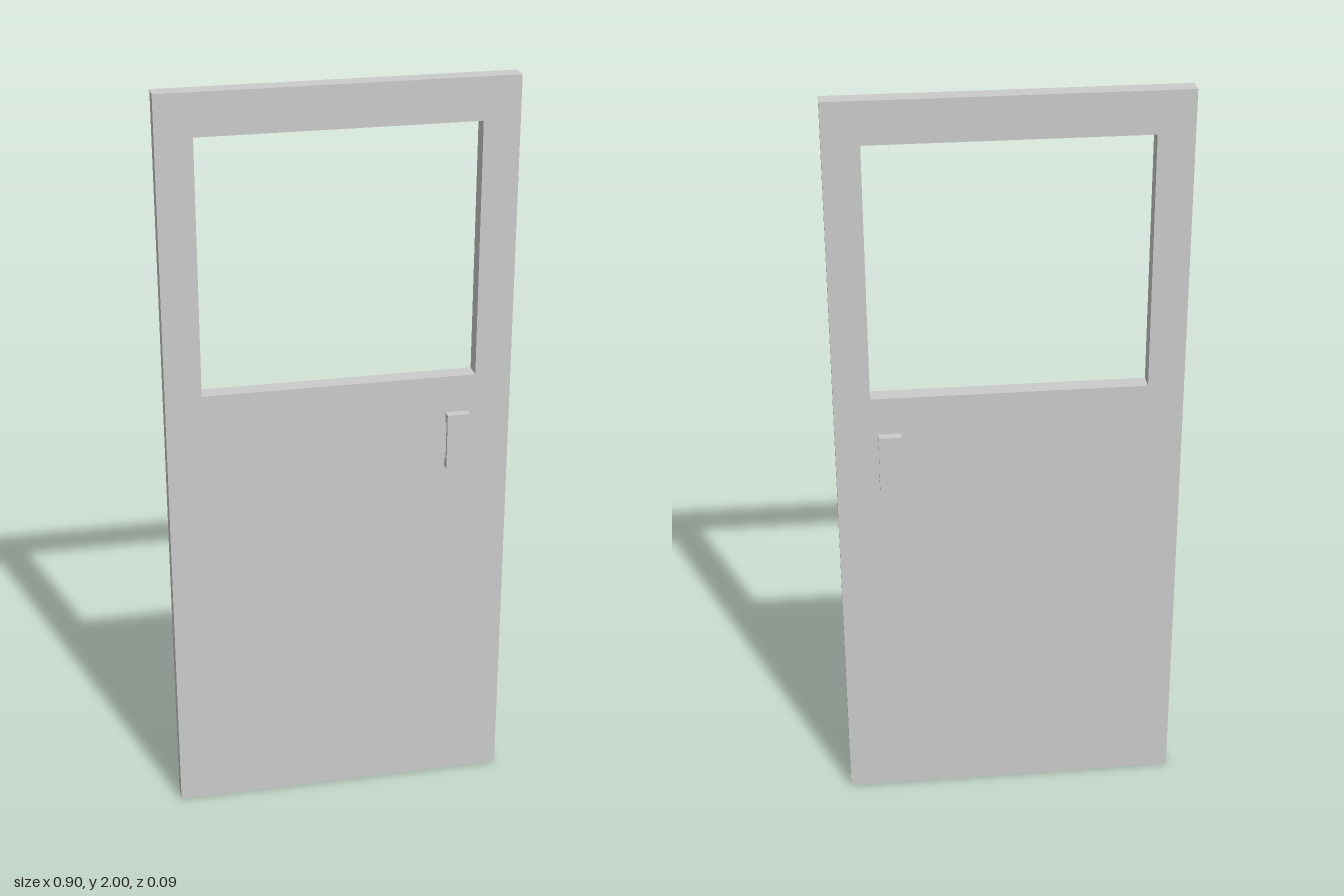
import * as THREE from 'three';

const W = 0.451, D = 0.0235; // half width and half thickness of the door

function polygon(points, Type = THREE.Shape) {
  return new Type(points.map(([x, y]) => new THREE.Vector2(x, y)));
}

export function createModel() {
  const group = new THREE.Group();
  group.name = 'door';
  const material = new THREE.MeshStandardMaterial({ color: 0xcccccc, flatShading: true });

  // Door slab with a window opening
  const slab = polygon([[-W, 0], [W, 0], [W, 2], [-W, 2]]);
  slab.holes.push(polygon([[-0.357, 1.217], [-0.357, 1.89], [0.357, 1.89], [0.357, 1.217]], THREE.Path));
  const slabGeometry = new THREE.ExtrudeGeometry(slab, { depth: 2 * D, bevelEnabled: false });
  slabGeometry.translate(0, 0, -D);
  const panel = new THREE.Mesh(slabGeometry, material);
  panel.name = 'doorPanel';
  group.add(panel);

  // Pull handles: a C-shaped side profile (distance from the door, height) swept across the width
  const bottom = 0.963, top = 1.116, reach = 0.0235, bar = 0.011, post = 0.025;
  const profile = polygon([
    [0, bottom], [reach, bottom], [reach, top], [0, top],
    [0, top - post], [reach - bar, top - post], [reach - bar, bottom + post], [0, bottom + post],
  ]);
  for (const side of [1, -1]) {
    const geometry = new THREE.ExtrudeGeometry(profile, { depth: 0.06, bevelEnabled: false });
    geometry.translate(0, 0, -0.03);
    geometry.rotateY(-side * Math.PI / 2);
    const handle = new THREE.Mesh(geometry, material);
    handle.name = side > 0 ? 'frontHandle' : 'backHandle';
    handle.position.set(0.31, 0, side * D);
    group.add(handle);
  }
  return group;
}
